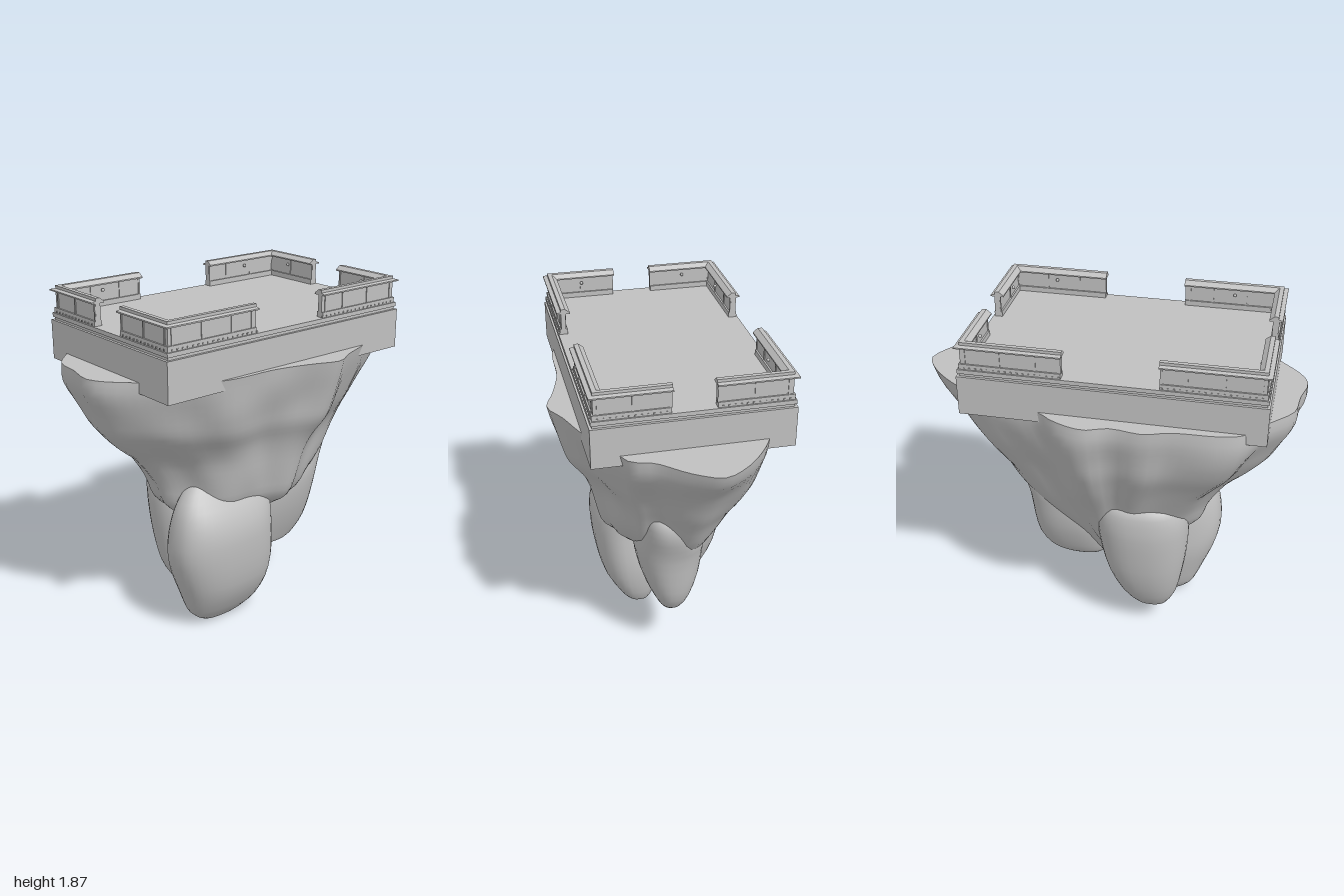
import * as THREE from 'three';

const stone = new THREE.MeshStandardMaterial({ color: 0xc0c0c0 });
stone.name = 'stone grey';

function add(parent, geometry, name) {
  const mesh = new THREE.Mesh(geometry, stone);
  mesh.name = name;
  parent.add(mesh);
  return mesh;
}

function box(parent, name, x0, x1, y0, y1, z0, z1) {
  const g = new THREE.BoxGeometry(x1 - x0, y1 - y0, z1 - z0);
  g.translate((x0 + x1) / 2, (y0 + y1) / 2, (z0 + z1) / 2);
  return add(parent, g, name);
}

// Skin closed rings (listed bottom to top); sharpTop gives the lid its own vertices
function loft(rings, sharpTop) {
  const n = rings[0].length, pos = [], idx = [];
  const push = (p) => pos.push(p.x, p.y, p.z) / 3 - 1;
  const middle = (ring) => ring.reduce((s, p) => s.add(p), new THREE.Vector3()).divideScalar(n);
  rings.forEach((ring) => ring.forEach(push));
  for (let i = 0; i < rings.length - 1; i++) {
    for (let j = 0; j < n; j++) {
      const k = (j + 1) % n, a = i * n + j, b = i * n + k;
      idx.push(a, a + n, b, b, a + n, b + n);
    }
  }
  const top = rings[rings.length - 1];
  let start = (rings.length - 1) * n;
  if (sharpTop) {
    start = pos.length / 3;
    top.forEach(push);
  }
  const low = push(middle(rings[0])), high = push(middle(top));
  for (let j = 0; j < n; j++) {
    const k = (j + 1) % n;
    idx.push(low, j, k, high, start + k, start + j);
  }
  const g = new THREE.BufferGeometry();
  g.setAttribute('position', new THREE.Float32BufferAttribute(pos, 3));
  g.setIndex(idx);
  g.computeVertexNormals();
  return g;
}

// Insert smoothly blended levels between the given ones
function subdivide(levels, steps) {
  const out = [], last = levels.length - 1;
  for (let i = 0; i < last; i++) {
    const before = levels[Math.max(i - 1, 0)], a = levels[i];
    const b = levels[i + 1], after = levels[Math.min(i + 2, last)];
    for (let s = 0; s < steps; s++) {
      const t = s / steps;
      out.push(a.map((v, k) => {
        const m0 = (b[k] - before[k]) / 2, m1 = (after[k] - v) / 2, d = b[k] - v;
        return v + t * (m0 + t * (3 * d - 2 * m0 - m1 + t * (m0 + m1 - 2 * d)));
      }));
    }
  }
  out.push(levels[last]);
  return out;
}

// Main rock: levels of [y, xMin, xMax, zMin, zMax] shrinking the top outline
function rockGeometry() {
  const outline = [
    [1, -0.07], [0.93, 0.07], [0.8, 0.22], [0.77, 0.32], [0.66, 0.38], [0.45, 0.5],
    [0.27, 0.57], [0.15, 0.63], [0, 0.58], [-0.2, 0.53], [-0.5, 0.51], [-0.68, 0.41],
    [-0.84, 0.27], [-0.97, 0.13], [-1, 0.05], [-0.97, -0.1], [-0.95, -0.25], [-0.84, -0.38],
    [-0.73, -0.52], [-0.62, -0.555], [-0.38, -0.57], [-0.25, -0.61], [-0.08, -0.59],
    [0.04, -0.63], [0.2, -0.58], [0.3, -0.51], [0.48, -0.45], [0.7, -0.38], [0.86, -0.27], [0.96, -0.16],
  ].map(([x, z]) => new THREE.Vector3(x, 0, z));
  const points = new THREE.CatmullRomCurve3(outline, true).getSpacedPoints(96).slice(0, 96);
  const levels = subdivide([
    [0.26, 0.01, 0.05, -0.07, -0.02], [0.35, -0.06, 0.09, -0.1, 0.01], [0.5, -0.23, 0.21, -0.19, 0.07],
    [0.62, -0.4, 0.34, -0.26, 0.2], [0.72, -0.52, 0.44, -0.31, 0.335], [0.85, -0.57, 0.56, -0.37, 0.385],
    [1, -0.66, 0.65, -0.45, 0.42], [1.1, -0.77, 0.72, -0.5, 0.46], [1.2, -0.87, 0.785, -0.55, 0.525],
    [1.3, -0.93, 0.86, -0.585, 0.56], [1.44, -0.995, 0.965, -0.625, 0.605], [1.535, -1, 1, -0.625, 0.63],
  ], 3);
  return loft(levels.map(([y, x0, x1, z0, z1]) => points.map((p) => {
    const a = Math.atan2(p.z, p.x);
    const rough = 0.03 * Math.min(1, (1.535 - y) * 5);
    const r = 1 + rough * (Math.sin(7 * a + 4 * y) * 0.5 + Math.sin(12 * a - 6 * y + 1) * 0.4
      + Math.sin(4 * a + 13 * y) * 0.3);
    return new THREE.Vector3(
      r * Math.abs(p.x) * (p.x > 0 ? x1 : x0), y,
      r * Math.abs(p.z) / 0.63 * (p.z > 0 ? z1 : z0));
  })), true);
}

// Hanging boulder from levels of [y, xMin, xMax, zMin, zMax]; a lower power is boxier
function boulderGeometry(power, levels) {
  const soft = (v) => Math.sign(v) * Math.abs(v) ** power;
  return loft(subdivide(levels, 2).map(([y, x0, x1, z0, z1]) => Array.from({ length: 36 }, (_, j) => {
    const a = j / 36 * Math.PI * 2;
    return new THREE.Vector3(
      (x0 + x1) / 2 + soft(Math.cos(a)) * (x1 - x0) / 2, y,
      (z0 + z1) / 2 + soft(Math.sin(a)) * (z1 - z0) / 2);
  })));
}

// Sweep a profile of [inset, y] round one mitred corner of the terrace
const HX = 0.772, HZ = 0.505;
function cornerSweep(profile, sx, sz, legX, legZ) {
  const pos = [], n = profile.length;
  const rows = profile.map(([d, y]) => [
    [sx * (HX - legX), y, sz * (HZ - d)],
    [sx * (HX - d), y, sz * (HZ - d)],
    [sx * (HX - d), y, sz * (HZ - legZ)],
  ]);
  const tri = (a, b, c) => (sx * sz > 0 ? pos.push(...a, ...b, ...c) : pos.push(...a, ...c, ...b));
  for (let i = 0; i < n; i++) {
    const p = rows[i], q = rows[(i + 1) % n];
    for (let s = 0; s < 2; s++) {
      tri(p[s], p[s + 1], q[s]);
      tri(q[s], p[s + 1], q[s + 1]);
    }
  }
  for (let i = 1; i < n - 1; i++) {
    tri(rows[0][0], rows[i][0], rows[i + 1][0]);
    tri(rows[0][2], rows[i + 1][2], rows[i][2]);
  }
  const g = new THREE.BufferGeometry();
  g.setAttribute('position', new THREE.Float32BufferAttribute(pos, 3));
  g.computeVertexNormals();
  return g;
}

// One L-shaped parapet: plinth, wall, coping, posts, studs and knobs
function parapet(sx, sz) {
  const group = new THREE.Group();
  group.name = 'cornerParapet';
  const legX = sz > 0 ? 0.555 : 0.535, legZ = 0.4;
  const sweep = (name, profile, trim = 0) =>
    add(group, cornerSweep(profile, sx, sz, legX - trim, legZ - trim), name);
  sweep('plinth', [[0.014, 1.725], [0.014, 1.755], [0.056, 1.755], [0.056, 1.725]], 0.006);
  sweep('wall', [[0.022, 1.75], [0.022, 1.85], [0.047, 1.85], [0.047, 1.75]], 0.004);
  sweep('coping', [[0.07, 1.843], [0, 1.843], [0, 1.85], [0.022, 1.855], [0.022, 1.87], [0.045, 1.87], [0.07, 1.85]]);

  const block = (name, x, y, z, w, h, d) => {
    const g = new THREE.BoxGeometry(w, h, d);
    g.translate(sx * x, y, sz * z);
    add(group, g, name);
  };
  for (const t of [0.045, 0.22, 0.4, 0.525]) block('post', HX - t, 1.798, HZ - 0.0345, 0.01, 0.095, 0.033);
  for (const t of [0.045, 0.21, 0.39]) block('post', HX - 0.0345, 1.798, HZ - t, 0.033, 0.095, 0.01);
  for (let t = 0.04; t < legX; t += 0.03) block('stud', HX - t, 1.735, HZ - 0.013, 0.008, 0.008, 0.006);
  for (let t = 0.04; t < legZ; t += 0.03) block('stud', HX - 0.013, 1.735, HZ - t, 0.006, 0.008, 0.008);

  const knob = (x, z) => {
    const g = new THREE.SphereGeometry(0.009, 10, 8);
    g.translate(sx * x, 1.815, sz * z);
    add(group, g, 'knob');
  };
  knob(HX - 0.28, HZ - 0.068);
  knob(HX - 0.068, HZ - 0.21);
  return group;
}

export function createModel() {
  const model = new THREE.Group();
  model.name = 'floatingRockTerrace';

  add(model, rockGeometry(), 'mainRock');
  add(model, boulderGeometry(0.8, [
    [0.003, -0.3, -0.22, 0.1, 0.14], [0.015, -0.37, -0.12, 0.07, 0.17], [0.05, -0.42, -0.05, 0.045, 0.2],
    [0.1, -0.46, 0, 0.02, 0.24], [0.22, -0.51, 0.035, -0.005, 0.31], [0.35, -0.56, 0.05, -0.02, 0.345],
    [0.48, -0.59, 0.045, -0.01, 0.36], [0.6, -0.585, 0.035, 0.005, 0.36], [0.7, -0.565, 0.035, 0.03, 0.33],
    [0.78, -0.53, 0.025, 0.06, 0.28], [0.86, -0.46, -0.02, 0.09, 0.225], [0.92, -0.35, -0.13, 0.14, 0.18],
  ]), 'frontBoulder');
  add(model, boulderGeometry(0.88, [
    [0.27, 0.15, 0.28, 0, 0.04], [0.29, 0.09, 0.35, -0.03, 0.08], [0.33, 0.06, 0.41, -0.06, 0.1],
    [0.42, 0.04, 0.465, -0.1, 0.14], [0.55, 0.03, 0.49, -0.14, 0.185], [0.7, 0.05, 0.51, -0.155, 0.215],
    [0.8, 0.1, 0.54, -0.15, 0.21], [0.9, 0.2, 0.57, -0.085, 0.195], [0.98, 0.3, 0.565, -0.05, 0.185],
    [1.02, 0.38, 0.535, 0, 0.16],
  ]), 'sideBoulder');
  add(model, boulderGeometry(0.88, [
    [0.12, -0.3, -0.22, -0.2, -0.16], [0.15, -0.34, -0.15, -0.25, -0.11], [0.25, -0.39, -0.07, -0.31, -0.07],
    [0.4, -0.42, 0, -0.36, -0.03], [0.55, -0.44, 0.04, -0.385, 0], [0.7, -0.445, 0.06, -0.4, 0],
    [0.8, -0.43, 0.06, -0.395, -0.05], [0.88, -0.39, 0.03, -0.375, -0.1], [0.93, -0.32, -0.05, -0.3, -0.15],
  ]), 'backBoulder');

  // Terrace, centred slightly off the rock
  const terrace = new THREE.Group();
  terrace.name = 'terrace';
  terrace.position.set(-0.068, 0, -0.005);
  model.add(terrace);
  box(terrace, 'base', -HX, HX, 1.48, 1.69, -HZ, HZ);
  box(terrace, 'step', -HX + 0.014, HX - 0.014, 1.69, 1.705, -HZ + 0.014, HZ - 0.014);
  box(terrace, 'floor', -HX + 0.006, HX - 0.006, 1.705, 1.727, -HZ + 0.006, HZ - 0.006);
  for (const sx of [-1, 1]) for (const sz of [-1, 1]) terrace.add(parapet(sx, sz));
  return model;
}
